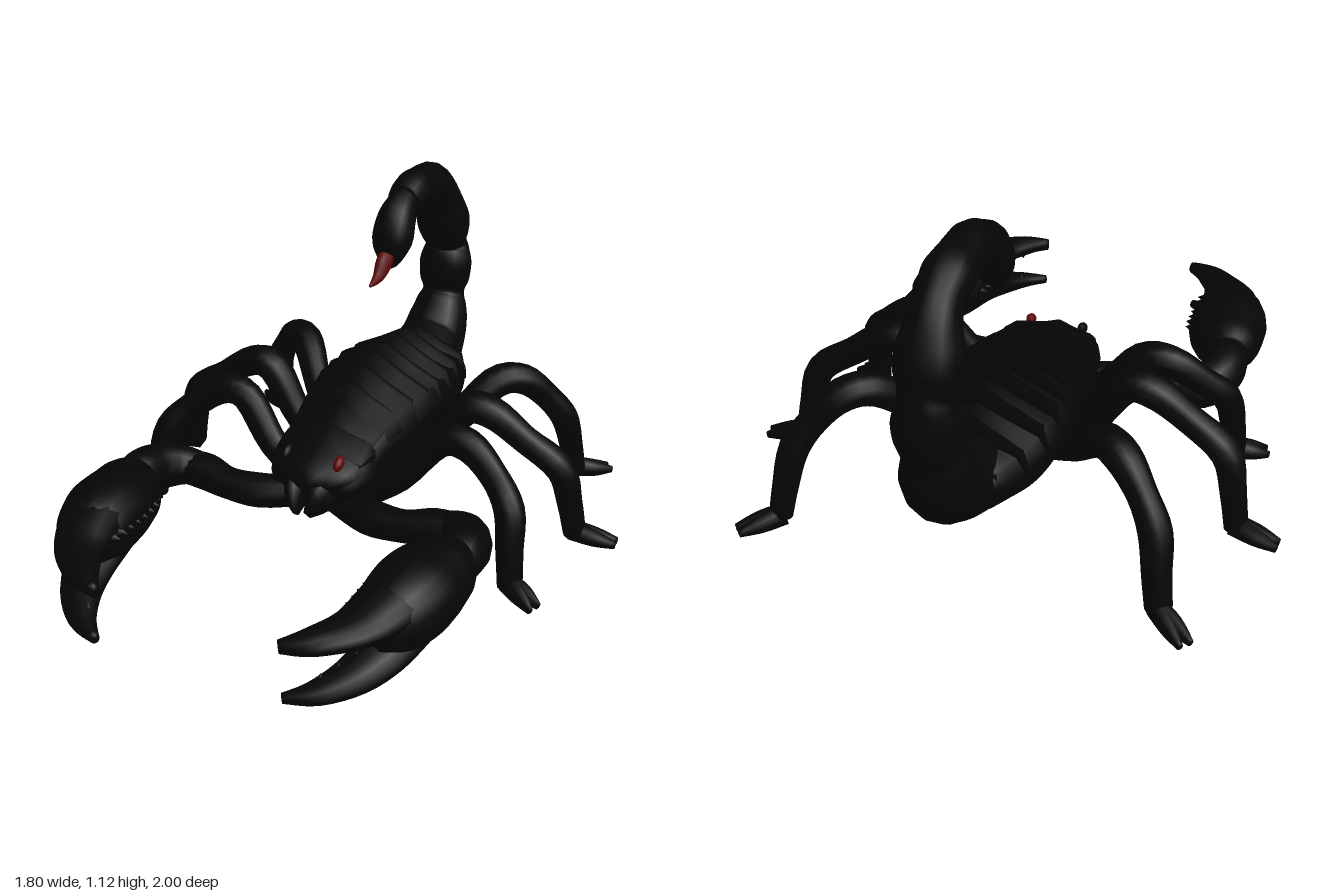
import * as THREE from 'three';

const shell = new THREE.MeshStandardMaterial({ color: 0x050505 });
shell.name = 'black shell';
const red = new THREE.MeshStandardMaterial({ color: 0x5c0607 });
red.name = 'dark red';

// Smooth interpolation of every number in a list of rows
function refine(rows, sub) {
  const out = [];
  for (let i = 0; i < rows.length - 1; i++) {
    const a = rows[Math.max(i - 1, 0)], b = rows[i], c = rows[i + 1], d = rows[Math.min(i + 2, rows.length - 1)];
    for (let k = 0; k < sub; k++) {
      const t = k / sub;
      out.push(b.map((v, n) => v + 0.5 * t * (c[n] - a[n] + t * (2 * a[n] - 5 * v + 4 * c[n] - d[n] + t * (3 * (v - c[n]) + d[n] - a[n])))));
    }
  }
  out.push(rows[rows.length - 1]);
  return out;
}

const circle = n => Array.from({ length: n }, (_, j) => [Math.cos(j / n * Math.PI * 2), Math.sin(j / n * Math.PI * 2)]);

// Roofed body section, right half from bottom to top, then mirrored
const half = [[0.45, -0.87], [0.85, -0.42], [1, -0.05], [0.98, 0.18], [0.86, 0.5], [0.45, 0.72]];
const roofed = [[0, -1], ...half, [0, 1], ...half.map(([w, h]) => [-w, h]).reverse()];

// Closed loft through rows of [x, y, z, half width, height above, height below]
function loft(rows, side, { shape = circle(14), sub = 4 } = {}) {
  const r = refine(rows, sub), pos = [], idx = [], seg = shape.length;
  const P = r.map(q => new THREE.Vector3(q[0], q[1], q[2]));
  const ref = new THREE.Vector3(...side);
  r.forEach((q, i) => {
    const T = P[Math.min(i + 1, P.length - 1)].clone().sub(P[Math.max(i - 1, 0)]).normalize();
    const S = ref.clone().addScaledVector(T, -ref.dot(T)).normalize();
    const N = T.clone().cross(S);
    for (const [w, h] of shape) {
      const v = P[i].clone().addScaledVector(S, w * Math.max(q[3], 0.002))
        .addScaledVector(N, h * Math.max(h < 0 ? q[5] ?? q[4] : q[4], 0.002));
      pos.push(v.x, v.y, v.z);
    }
  });
  for (let i = 0; i < r.length - 1; i++) for (let j = 0; j < seg; j++) {
    const a = i * seg + j, b = i * seg + (j + 1) % seg;
    idx.push(a, b, a + seg, b, b + seg, a + seg);
  }
  const last = (r.length - 1) * seg, c = pos.length / 3;
  pos.push(...P[0].toArray(), ...P[P.length - 1].toArray());
  for (let j = 0; j < seg; j++) {
    const k = (j + 1) % seg;
    idx.push(c, k, j, c + 1, last + j, last + k);
  }
  const g = new THREE.BufferGeometry();
  g.setAttribute('position', new THREE.Float32BufferAttribute(pos, 3));
  g.setIndex(idx);
  g.computeVertexNormals();
  return g;
}

export function createModel() {
  const model = new THREE.Group();
  model.name = 'scorpion';
  const add = (parent, name, geo, mat = shell) => {
    const m = new THREE.Mesh(geo, mat);
    m.name = name;
    parent.add(m);
    return m;
  };
  const X = [1, 0, 0];

  // Body hull: z, half width, widest height, top, bottom (back to front)
  const hull = [[-0.79, 0.1, 0.4, 0.48, 0.32], [-0.74, 0.15, 0.38, 0.485, 0.265], [-0.62, 0.205, 0.36, 0.5, 0.2],
    [-0.48, 0.235, 0.35, 0.53, 0.175], [-0.3, 0.238, 0.35, 0.535, 0.155], [-0.15, 0.215, 0.34, 0.51, 0.14],
    [0, 0.19, 0.33, 0.46, 0.13], [0.11, 0.175, 0.31, 0.415, 0.13], [0.19, 0.155, 0.3, 0.38, 0.16],
    [0.235, 0.1, 0.29, 0.35, 0.2], [0.26, 0.03, 0.28, 0.32, 0.24]];
  add(model, 'body', loft(hull.map(([z, w, y, t, b]) => [0, y, z, w, t - y, y - b]), X, { shape: roofed }));

  // Overlapping back plates: front z, rear z, half width, rear top
  const plates = [[0.16, 0.06, 0.17, 0.44], [0.08, -0.02, 0.18, 0.475], [0, -0.1, 0.197, 0.515], [-0.08, -0.19, 0.215, 0.545],
    [-0.17, -0.28, 0.232, 0.56], [-0.26, -0.36, 0.238, 0.565], [-0.34, -0.45, 0.238, 0.568], [-0.43, -0.55, 0.228, 0.553],
    [-0.53, -0.66, 0.202, 0.523], [-0.63, -0.75, 0.155, 0.49]];
  plates.forEach(([f, b, w, t], i) => add(model, 'backPlate' + (i + 1), loft([
    [0, 0.35, b + 0.012, w * 0.6, t - 0.38, 0.04],
    [0, 0.35, b, w - 0.006, t - 0.352, 0.06],
    [0, 0.35, b + 0.02, w, t - 0.355, 0.06],
    [0, 0.35, f, w - 0.015, t - 0.393, 0.05]], X, { shape: roofed, sub: 1 })));

  // Tail: y, z, half width, half depth, alternating joints and bulges
  const tail = new THREE.Group();
  tail.name = 'tail';
  model.add(tail);
  const tailRows = [[0.355, -0.66, 0.16, 0.13], [0.4, -0.79, 0.125, 0.125], [0.47, -0.855, 0.112, 0.112], [0.535, -0.885, 0.095, 0.09],
    [0.575, -0.9, 0.08, 0.068], [0.62, -0.908, 0.095, 0.084], [0.69, -0.912, 0.1, 0.085], [0.745, -0.918, 0.085, 0.072],
    [0.775, -0.912, 0.076, 0.066], [0.82, -0.89, 0.094, 0.09], [0.88, -0.865, 0.098, 0.092], [0.95, -0.835, 0.08, 0.082],
    [1.0, -0.79, 0.07, 0.078], [1.035, -0.725, 0.077, 0.08], [1.047, -0.66, 0.07, 0.073], [1.047, -0.57, 0.07, 0.074],
    [1.025, -0.5, 0.06, 0.068]];
  add(tail, 'tailSegments', loft(tailRows.map(q => [0, ...q]), X));
  add(tail, 'venomBulb', loft([[0, 1.035, -0.52, 0.05, 0.06], [0, 0.99, -0.445, 0.065, 0.072], [0, 0.92, -0.405, 0.07, 0.068],
    [0, 0.865, -0.378, 0.045, 0.045], [0, 0.855, -0.355, 0.02, 0.02]], X));
  add(tail, 'stinger', loft([[0, 0.885, -0.372, 0.026, 0.026], [0, 0.855, -0.335, 0.027, 0.034],
    [0, 0.822, -0.29, 0.018, 0.021], [0, 0.812, -0.228, 0.004, 0.006]], X, { shape: circle(10) }), red);

  // Leg paths from hip over the knee to the ankle
  const legs = {
    front: [[0.12, 0.2, 0.05, 0.05, 0.05], [0.24, 0.28, 0.035, 0.045, 0.05], [0.36, 0.42, 0, 0.052, 0.054], [0.46, 0.43, 0, 0.054, 0.054],
      [0.56, 0.36, 0.03, 0.045, 0.048], [0.635, 0.28, 0.08, 0.052, 0.048], [0.655, 0.16, 0.115, 0.046, 0.043], [0.668, 0.04, 0.13, 0.044, 0.038]],
    middle: [[0.12, 0.2, -0.18, 0.05, 0.05], [0.25, 0.28, -0.185, 0.048, 0.05], [0.365, 0.445, -0.205, 0.062, 0.055], [0.46, 0.452, -0.215, 0.06, 0.053],
      [0.58, 0.375, -0.22, 0.048, 0.047], [0.7, 0.29, -0.235, 0.058, 0.048], [0.735, 0.16, -0.255, 0.049, 0.042], [0.755, 0.045, -0.27, 0.046, 0.038]],
    back: [[0.13, 0.22, -0.28, 0.05, 0.05], [0.25, 0.29, -0.35, 0.046, 0.05], [0.37, 0.43, -0.48, 0.058, 0.055], [0.455, 0.435, -0.55, 0.058, 0.053],
      [0.53, 0.36, -0.605, 0.047, 0.047], [0.585, 0.27, -0.65, 0.052, 0.048], [0.605, 0.15, -0.69, 0.046, 0.042], [0.62, 0.05, -0.71, 0.043, 0.038]],
  };
  const feet = { front: [0.77, 0.018, 0.19], middle: [0.895, 0.022, -0.295], back: [0.725, 0.025, -0.808] };
  const sides = { front: [-0.4, 0, 1], middle: [0.1, 0, 1], back: [0.7, 0, 0.7] };

  for (const s of [1, -1]) {
    const label = s > 0 ? 'left' : 'right';
    const flip = rows => rows.map(([x, ...rest]) => [x * s, ...rest]);
    for (const key of Object.keys(legs)) {
      const g = new THREE.Group(), p = legs[key], end = p[p.length - 1], tip = feet[key], sd = sides[key];
      g.name = label + key[0].toUpperCase() + key.slice(1) + 'Leg';
      g.position.z = s * 0.012; // the left legs stand slightly further forward
      model.add(g);
      const side = [sd[0] * s, 0, sd[2]];
      add(g, 'leg', loft(flip(p), side));
      // Two-toed foot
      for (const k of [-1, 1]) {
        const dx = sd[0] * 0.018 * k, dz = sd[2] * 0.018 * k;
        add(g, 'toe', loft(flip([[end[0] - 0.01, 0.05, end[2], 0.032, 0.04],
          [(end[0] + tip[0]) / 2 + dx * 0.6, 0.035, (end[2] + tip[2]) / 2 + dz * 0.6, 0.028, 0.03],
          [tip[0] + dx, tip[1], tip[2] + dz, 0.01, 0.013]]), side, { shape: circle(8) }));
      }
    }

    // Pincer arm
    const arm = new THREE.Group();
    arm.name = label + 'Pincer';
    model.add(arm);
    add(arm, 'upperArm', loft(flip([[0.06, 0.2, 0.14, 0.05, 0.05], [0.2, 0.19, 0.185, 0.068, 0.055], [0.32, 0.195, 0.198, 0.058, 0.052],
      [0.42, 0.205, 0.178, 0.068, 0.06], [0.51, 0.21, 0.18, 0.06, 0.058]]), [0, 0, 1]));
    add(arm, 'forearm', loft(flip([[0.42, 0.205, 0.165, 0.05, 0.05], [0.515, 0.215, 0.19, 0.07, 0.072], [0.567, 0.23, 0.265, 0.075, 0.082],
      [0.575, 0.24, 0.35, 0.075, 0.082], [0.57, 0.24, 0.4, 0.06, 0.07]]), [1, 0, -1 * s]));
    add(arm, 'hand', loft(flip([[0.575, 0.245, 0.375, 0.065, 0.07], [0.56, 0.245, 0.43, 0.11, 0.098], [0.537, 0.24, 0.52, 0.134, 0.115],
      [0.526, 0.235, 0.62, 0.136, 0.125], [0.505, 0.225, 0.72, 0.114, 0.112], [0.48, 0.22, 0.79, 0.07, 0.065]]), X, { shape: circle(20) }));
    add(arm, 'upperFinger', loft(flip([[0.52, 0.28, 0.64, 0.105, 0.075], [0.497, 0.265, 0.75, 0.096, 0.062], [0.452, 0.25, 0.85, 0.075, 0.043],
      [0.375, 0.243, 0.94, 0.05, 0.034], [0.3, 0.235, 0.988, 0.016, 0.022]]), X));
    add(arm, 'lowerFinger', loft(flip([[0.52, 0.17, 0.64, 0.1, 0.075], [0.5, 0.13, 0.75, 0.085, 0.055], [0.46, 0.1, 0.85, 0.065, 0.045],
      [0.39, 0.08, 0.94, 0.042, 0.03], [0.31, 0.07, 0.992, 0.014, 0.016]]), X));
    // Serrated inner edge of the hand, and teeth between the fingers
    for (let i = 0; i < 9; i++) {
      const t = i / 8, spike = add(arm, 'spike', new THREE.ConeGeometry(0.018, 0.03, 6));
      spike.position.set(s * (0.445 - 0.05 * Math.min(1, t * 3.5)), 0.25, 0.44 + t * 0.3);
      spike.rotation.z = s * Math.PI / 2;
    }
    for (let i = 0; i < 3; i++) {
      const tooth = add(arm, 'fingerTooth', new THREE.ConeGeometry(0.015, 0.025, 6));
      tooth.position.set(s * (0.455 - i * 0.033), 0.15 - i * 0.018, 0.82 + i * 0.045);
      const upper = add(arm, 'fingerTooth', tooth.geometry);
      upper.position.set(s * (0.45 - i * 0.035), 0.205 + i * 0.002, 0.82 + i * 0.045);
      upper.rotation.x = Math.PI;
    }

    // Mouth claw and cheek
    add(model, label + 'MouthClaw', loft(flip([[0.05, 0.26, 0.12, 0.05, 0.08], [0.048, 0.25, 0.21, 0.045, 0.075],
      [0.035, 0.225, 0.255, 0.03, 0.055], [0.02, 0.2, 0.282, 0.01, 0.025]]), X, { shape: circle(10) }));
    add(model, label + 'Cheek', loft(flip([[0.14, 0.3, -0.02, 0.03, 0.05], [0.14, 0.295, 0.09, 0.045, 0.07],
      [0.125, 0.285, 0.18, 0.035, 0.05], [0.1, 0.28, 0.225, 0.012, 0.02]]), X, { shape: circle(10) }));

    // Eyes: only the left one is red
    const eye = add(model, label + 'Eye', new THREE.SphereGeometry(1, 12, 8), s > 0 ? red : shell);
    eye.scale.set(0.016, 0.02, 0.031);
    eye.position.set(s * 0.094, 0.366, 0.198);
    eye.rotation.x = 0.5;
  }
  return model;
}
